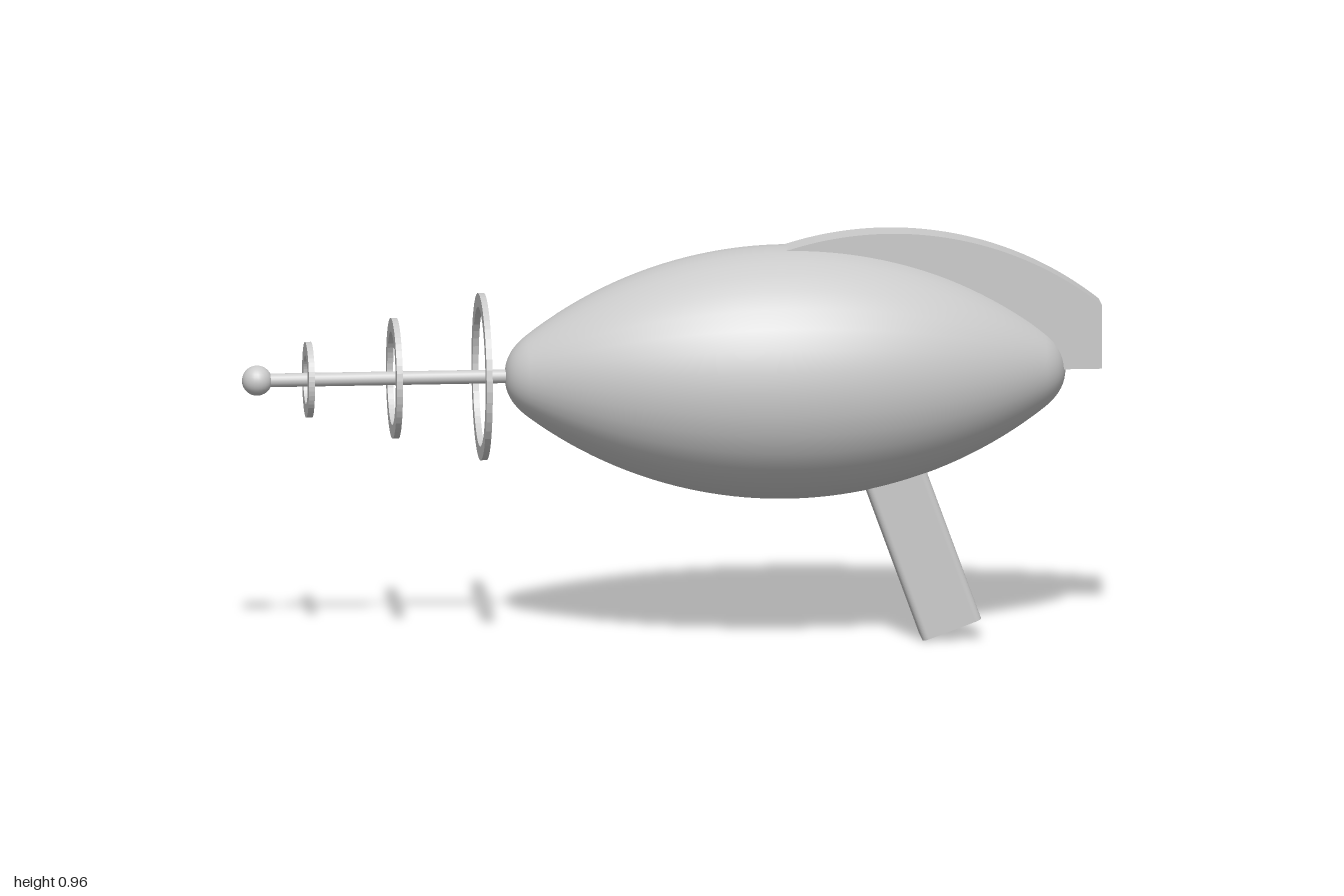
import * as THREE from 'three';

const AXIS_Y = 0.637; // height of the barrel axis
const material = new THREE.MeshStandardMaterial({ color: 0xcccccc });

function add(group, name, geometry, x = 0, y = 0, z = 0) {
  const mesh = new THREE.Mesh(geometry, material);
  mesh.name = name;
  mesh.position.set(x, y, z);
  group.add(mesh);
  return mesh;
}

// Spindle profile: a shallow arc closed by a rounded tip at each end
function bodyGeometry() {
  const half = 0.652, tip = 0.05, R = 1.0, maxR = 0.295;
  const arc = (d) => maxR - R + Math.sqrt(R * R - d * d);
  const edge = half - tip;
  const rEdge = arc(edge);
  const right = [];
  for (let i = 0; i <= 24; i++) {
    const d = (edge * i) / 24;
    right.push(new THREE.Vector2(arc(d), d));
  }
  const cap = new THREE.CubicBezierCurve(
    new THREE.Vector2(rEdge, edge), new THREE.Vector2(rEdge - 0.03, edge + 0.038),
    new THREE.Vector2(0.035, half), new THREE.Vector2(0, half));
  right.push(...cap.getPoints(10).slice(1));
  const left = right.slice(1).reverse().map((p) => new THREE.Vector2(p.x, -p.y));
  return new THREE.LatheGeometry([...left, ...right], 36).rotateZ(-Math.PI / 2);
}

// Flat ring facing along x
function ringGeometry(outer, width, depth) {
  const shape = new THREE.Shape().absarc(0, 0, outer, 0, Math.PI * 2, false);
  shape.holes.push(new THREE.Path().absarc(0, 0, outer - width, 0, Math.PI * 2, true));
  return new THREE.ExtrudeGeometry(shape, { depth, bevelEnabled: false, curveSegments: 24 })
    .translate(0, 0, -depth / 2).rotateY(Math.PI / 2);
}

// Grip bar with rounded long edges, hanging down from its origin
function gripGeometry(w, d, length, r) {
  const x = w / 2, y = d / 2;
  const s = new THREE.Shape();
  s.absarc(x - r, y - r, r, 0, Math.PI / 2);
  s.absarc(-x + r, y - r, r, Math.PI / 2, Math.PI);
  s.absarc(-x + r, -y + r, r, Math.PI, Math.PI * 1.5);
  s.absarc(x - r, -y + r, r, Math.PI * 1.5, Math.PI * 2);
  return new THREE.ExtrudeGeometry(s, { depth: length, bevelEnabled: false, curveSegments: 5 })
    .rotateX(Math.PI / 2);
}

// Curved top fin, cut square at the back
function finGeometry() {
  const cx = 0.5, cy = 0.175, R = 0.79, depth = 0.08;
  const end = Math.acos((0.998 - cx) / R), start = Math.acos((0.15 - cx) / R);
  const s = new THREE.Shape();
  s.moveTo(0.15, 0.638);
  s.lineTo(0.998, 0.638);
  s.absarc(cx, cy, R, end, start, false);
  s.closePath();
  return new THREE.ExtrudeGeometry(s, { depth, bevelEnabled: false, curveSegments: 28 })
    .translate(0, 0, -depth / 2);
}

export function createModel() {
  const model = new THREE.Group();
  model.name = 'rayGun';

  add(model, 'body', bodyGeometry(), 0.264, AXIS_Y, 0);
  add(model, 'topFin', finGeometry());

  // Handle, raked backward
  const handle = add(model, 'handle', gripGeometry(0.145, 0.12, 0.5, 0.015), 0.477, 0.5, 0);
  handle.rotation.z = THREE.MathUtils.degToRad(20);

  // Barrel rod with its ball tip
  const rod = new THREE.CylinderGeometry(0.016, 0.016, 0.62, 20).rotateZ(Math.PI / 2);
  add(model, 'barrelRod', rod, -0.655, AXIS_Y, 0);
  add(model, 'ballTip', new THREE.SphereGeometry(0.035, 24, 16), -0.965, AXIS_Y, 0);

  // Three floating rings, growing toward the body
  const rings = new THREE.Group();
  rings.name = 'barrelRings';
  [[-0.845, 0.088], [-0.645, 0.14], [-0.441, 0.194]].forEach(([x, r], i) =>
    add(rings, `ring${i + 1}`, ringGeometry(r, 0.032, 0.014), x, AXIS_Y, 0));
  model.add(rings);

  return model;
}
